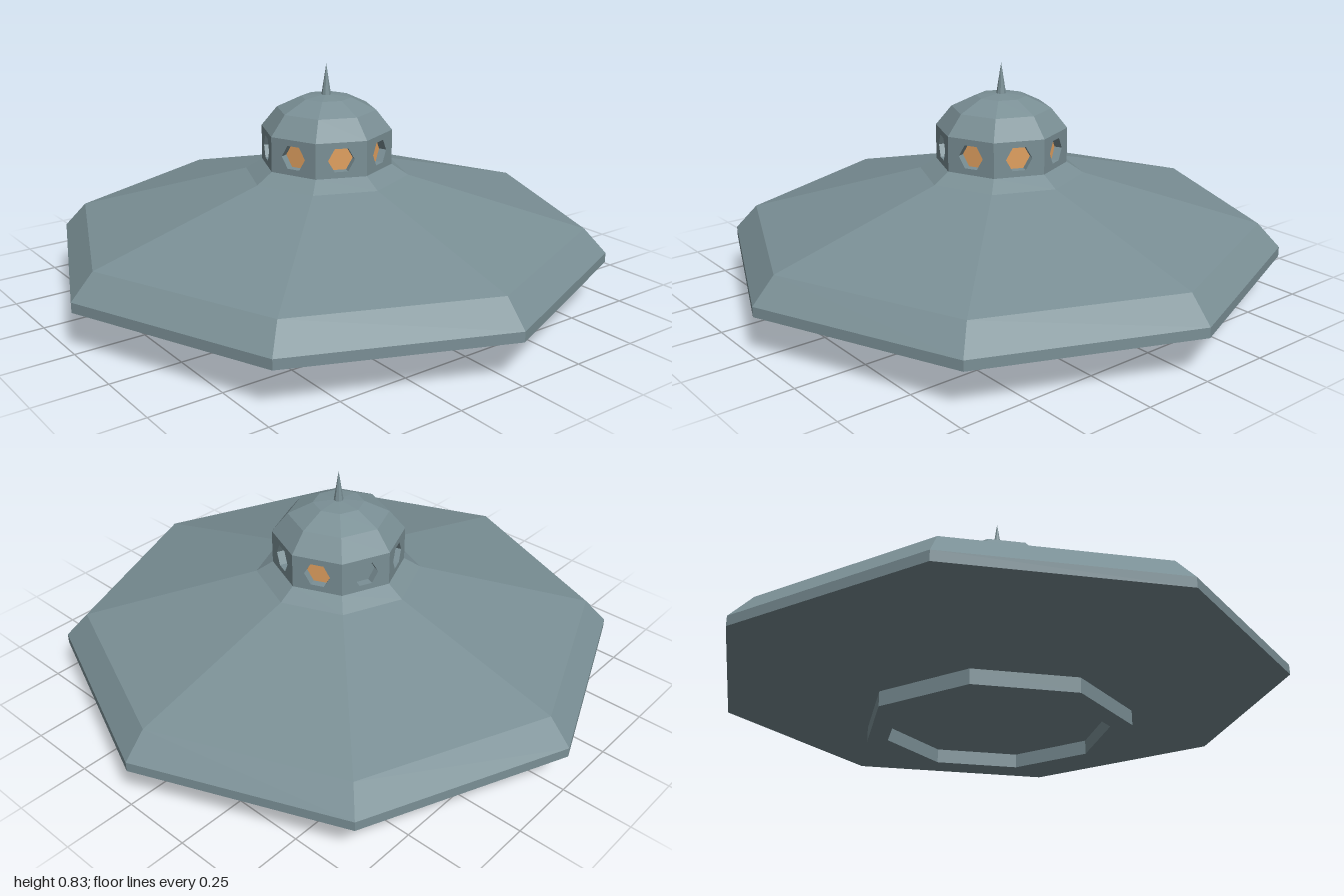
import * as THREE from 'three';

const SIDES = 8;
const CABIN_R = 0.235, CABIN_BOTTOM = 0.475, CABIN_TOP = 0.6;
const WALL = 0.03;

export function createModel() {
  const model = new THREE.Group();
  model.name = 'flyingSaucer';
  const metal = new THREE.MeshStandardMaterial({ color: 0x7a8f95, flatShading: true });
  const glass = new THREE.MeshStandardMaterial({ color: 0xe0a060, flatShading: true });

  const add = (parent, name, geometry, material = metal) => {
    const mesh = new THREE.Mesh(geometry, material);
    mesh.name = name;
    parent.add(mesh);
    return mesh;
  };
  const lathe = (points) =>
    new THREE.LatheGeometry(points.map(([r, y]) => new THREE.Vector2(r, y)), SIDES);

  // Octagonal saucer body with a hollow landing ring underneath
  add(model, 'hull', lathe([
    [0, 0.05], [0.39, 0.05], [0.39, 0], [0.465, 0], [0.465, 0.052],
    [1, 0.145], [1, 0.18], [0.92, 0.267], [0.295, 0.437],
    [CABIN_R, CABIN_BOTTOM], [0, CABIN_BOTTOM],
  ]));

  // Cabin wall panel with a hexagonal window opening
  const half = CABIN_R * Math.sin(Math.PI / SIDES);
  const apothem = CABIN_R * Math.cos(Math.PI / SIDES);
  const midY = (CABIN_BOTTOM + CABIN_TOP) / 2;
  const halfH = (CABIN_TOP - CABIN_BOTTOM) / 2;
  const hexagon = (r) => Array.from({ length: 6 }, (_, i) =>
    new THREE.Vector2(r * Math.cos(i * Math.PI / 3), r * Math.sin(i * Math.PI / 3)));
  const panel = new THREE.Shape([
    new THREE.Vector2(-half, -halfH), new THREE.Vector2(half, -halfH),
    new THREE.Vector2(half, halfH), new THREE.Vector2(-half, halfH),
  ]);
  panel.holes.push(new THREE.Path(hexagon(0.047).reverse()));
  const panelGeometry = new THREE.ExtrudeGeometry(panel, { depth: WALL, bevelEnabled: false });
  panelGeometry.translate(0, 0, -WALL);
  const paneGeometry = new THREE.ShapeGeometry(new THREE.Shape(hexagon(0.052)));
  paneGeometry.translate(0, 0, -WALL + 0.002);

  // Eight panels around the cabin; one window is dark
  for (let i = 0; i < SIDES; i++) {
    const side = new THREE.Group();
    side.name = 'cabinSide';
    const angle = (i + 0.5) * 2 * Math.PI / SIDES;
    side.position.set(apothem * Math.sin(angle), midY, apothem * Math.cos(angle));
    side.rotation.y = angle;
    add(side, 'cabinWall', panelGeometry);
    add(side, 'windowPane', paneGeometry, i === 5 ? metal : glass);
    model.add(side);
  }

  // Faceted dome roof
  add(model, 'dome', lathe([
    [0, CABIN_TOP], [CABIN_R, CABIN_TOP], [0.178, 0.67], [0.09, 0.712], [0, 0.722],
  ]));

  // Antenna spike
  add(model, 'antenna', new THREE.ConeGeometry(0.018, 0.115, SIDES)).position.y = 0.7725;

  return model;
}
